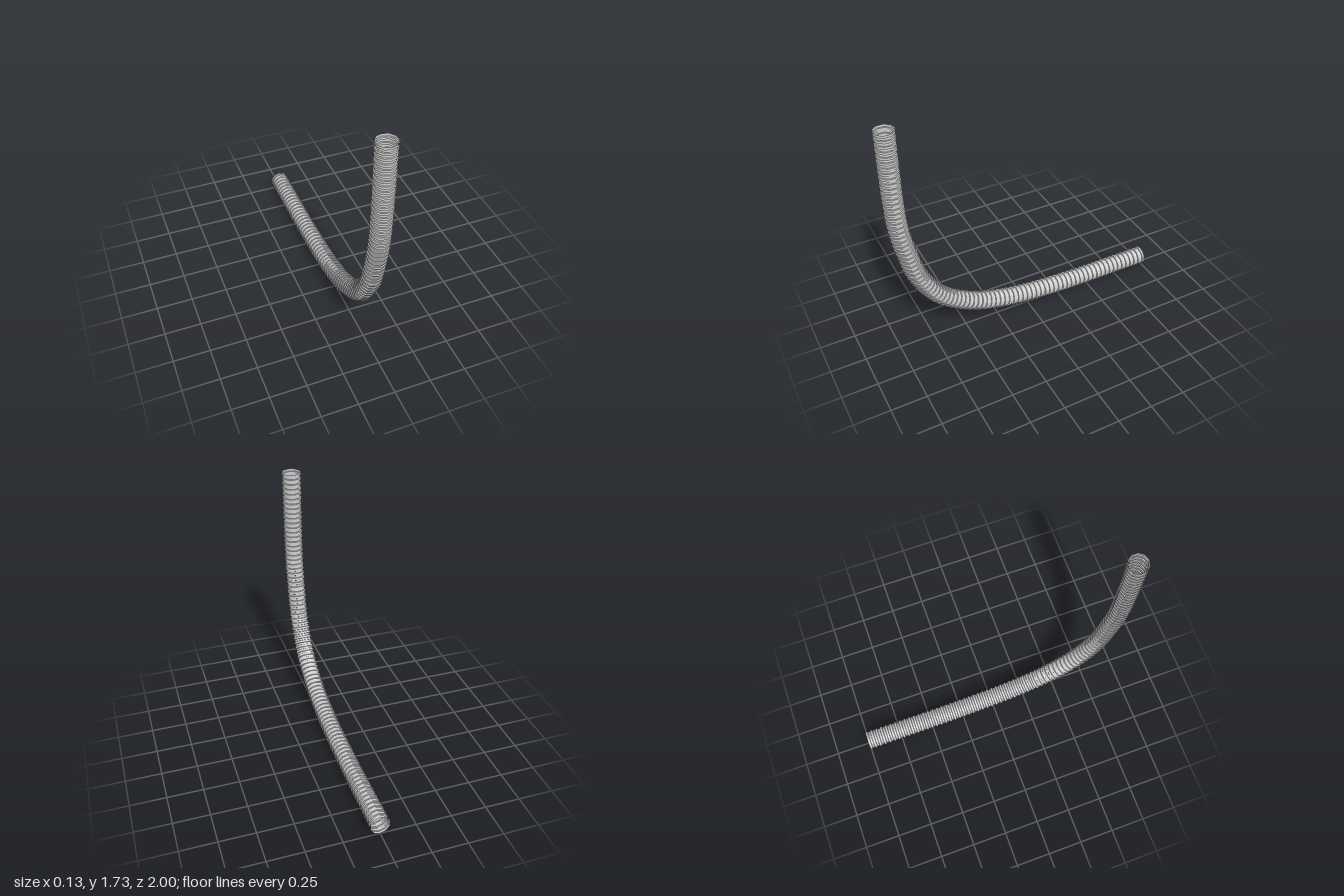
import * as THREE from 'three';
import { toCreasedNormals } from 'three/addons/utils/BufferGeometryUtils.js';

const SIDES = 10;
const RIDGES = 84;
const OUTER = 0.0695;
const INNER = 0.063;

// Centre line of the hose as [z, y]: straight down, through the bend, then back along the ground
const path = new THREE.CatmullRomCurve3([
  [0.93, 1.73], [0.93, 1.5], [0.928, 1.25], [0.914, 1.0], [0.877, 0.8], [0.82, 0.59], [0.716, 0.405],
  [0.59, 0.285], [0.4, 0.182], [0.2, 0.125], [0, 0.095], [-0.4, 0.071], [-0.7, 0.0695], [-1, 0.0695],
].map(([z, y]) => new THREE.Vector3(0, y, z)));
path.arcLengthDivisions = 1000;

// One corrugation: [fraction of the pitch, radius]
const ridgeProfile = [[0, OUTER], [0.45, OUTER], [0.52, INNER], [0.93, INNER]];

function corrugatedTube() {
  const rows = [];
  for (let i = 0; i < RIDGES; i++) {
    for (const [f, r] of ridgeProfile) rows.push([(i + f) / (RIDGES + 0.45), r]);
  }
  // finish on a full ridge
  rows.push([RIDGES / (RIDGES + 0.45), OUTER], [1, OUTER]);

  const positions = [];
  const indices = [];
  rows.forEach(([u, r], row) => {
    const p = path.getPointAt(u);
    const t = path.getTangentAt(u);
    for (let s = 0; s < SIDES; s++) {
      const a = (s / SIDES) * Math.PI * 2;
      const c = r * Math.cos(a);
      positions.push(r * Math.sin(a), p.y - c * t.z, p.z + c * t.y);
      if (row > 0) {
        const n = (s + 1) % SIDES;
        const a0 = (row - 1) * SIDES, b0 = row * SIDES;
        indices.push(a0 + s, a0 + n, b0 + s, a0 + n, b0 + n, b0 + s);
      }
    }
  });
  const geometry = new THREE.BufferGeometry();
  geometry.setAttribute('position', new THREE.Float32BufferAttribute(positions, 3));
  geometry.setIndex(indices);
  // smooth around the hose, sharp at each ridge
  return toCreasedNormals(geometry, 0.75);
}

export function createModel() {
  const group = new THREE.Group();
  group.name = 'corrugatedHose';
  const material = new THREE.MeshStandardMaterial({ color: 0xcccccc, side: THREE.DoubleSide });
  const hose = new THREE.Mesh(corrugatedTube(), material);
  hose.name = 'hose';
  group.add(hose);
  return group;
}
